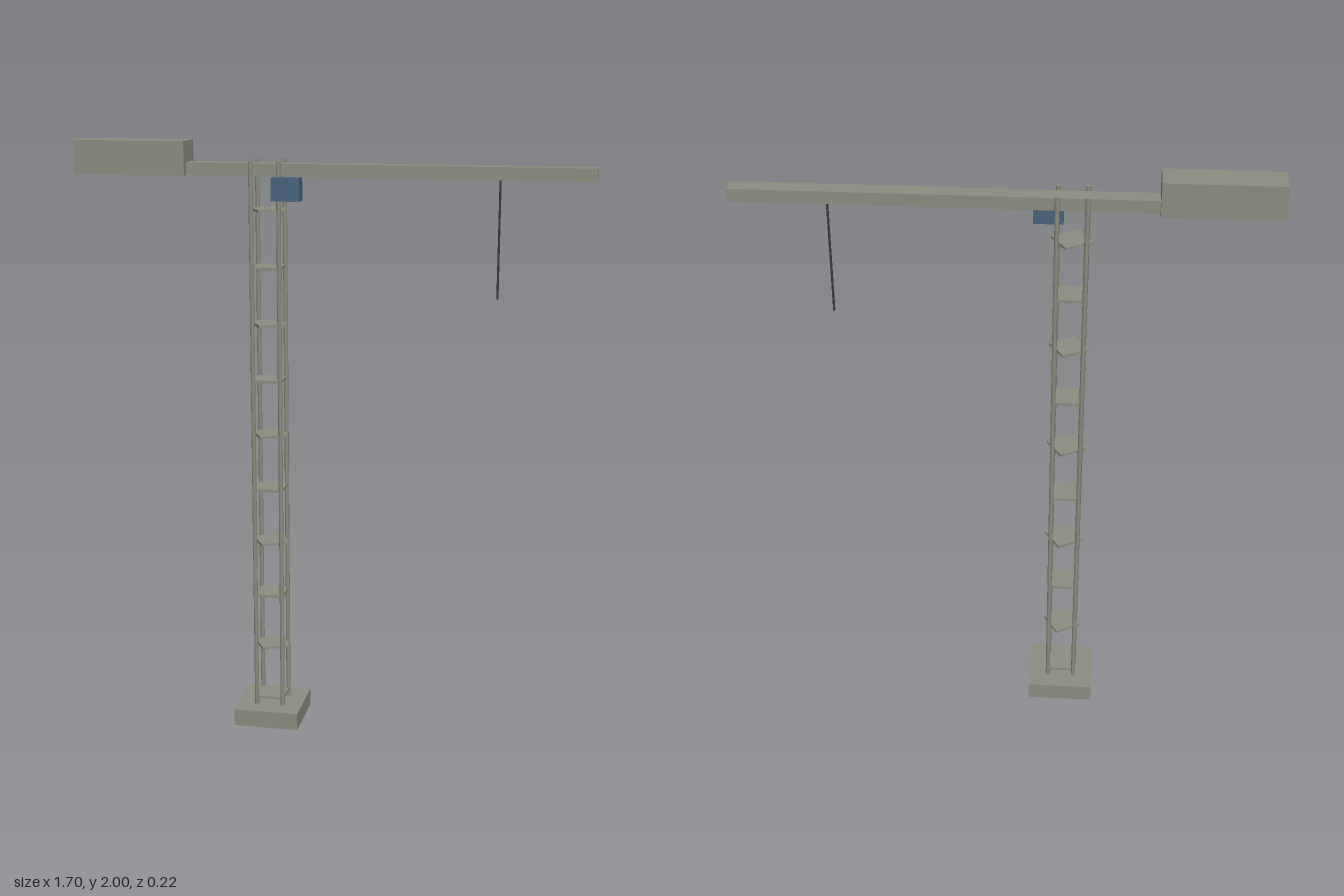
import * as THREE from 'three';

export function createModel() {
  const crane = new THREE.Group();
  crane.name = 'towerCrane';

  const steel = new THREE.MeshStandardMaterial({ name: 'greySteel', color: 0x8b8d7f });
  const blue = new THREE.MeshStandardMaterial({ name: 'cabBlue', color: 0x48637c });
  const dark = new THREE.MeshStandardMaterial({ name: 'cableDark', color: 0x3c3c3a });

  function add(name, geometry, material, x, y, z, turn = 0) {
    const mesh = new THREE.Mesh(geometry, material);
    mesh.name = name;
    mesh.position.set(x, y, z);
    mesh.rotation.y = turn;
    crane.add(mesh);
    return mesh;
  }

  const mastX = -0.21;

  // Foundation block
  add('base', new THREE.BoxGeometry(0.224, 0.06, 0.224), steel, mastX, 0.03, 0);

  // Four mast legs
  const leg = new THREE.CylinderGeometry(0.0075, 0.0075, 1.89, 8);
  for (const sx of [-1, 1]) {
    for (const sz of [-1, 1]) add('mastLeg', leg, steel, mastX + sx * 0.046, 0.997, sz * 0.046);
  }

  // Mast platforms, every second one turned
  const platform = new THREE.BoxGeometry(0.097, 0.009, 0.097);
  for (let i = 0; i < 10; i++) {
    add('mastPlatform', platform, steel, mastX, 0.085 + i * 0.1885, 0, i % 2 ? Math.PI / 6 : 0);
  }

  // Jib beam running into the counterweight
  add('jib', new THREE.BoxGeometry(1.33, 0.041, 0.06), steel, 0.182, 1.911, 0);
  add('counterweight', new THREE.BoxGeometry(0.374, 0.11, 0.113), steel, -0.662, 1.945, 0);

  // Operator cab beside the mast
  add('cab', new THREE.BoxGeometry(0.094, 0.075, 0.045), blue, -0.135, 1.853, 0.056);

  // Hanging hoist cable
  add('hoistCable', new THREE.CylinderGeometry(0.0038, 0.0038, 0.38, 6), dark, 0.544, 1.7, 0);

  return crane;
}
